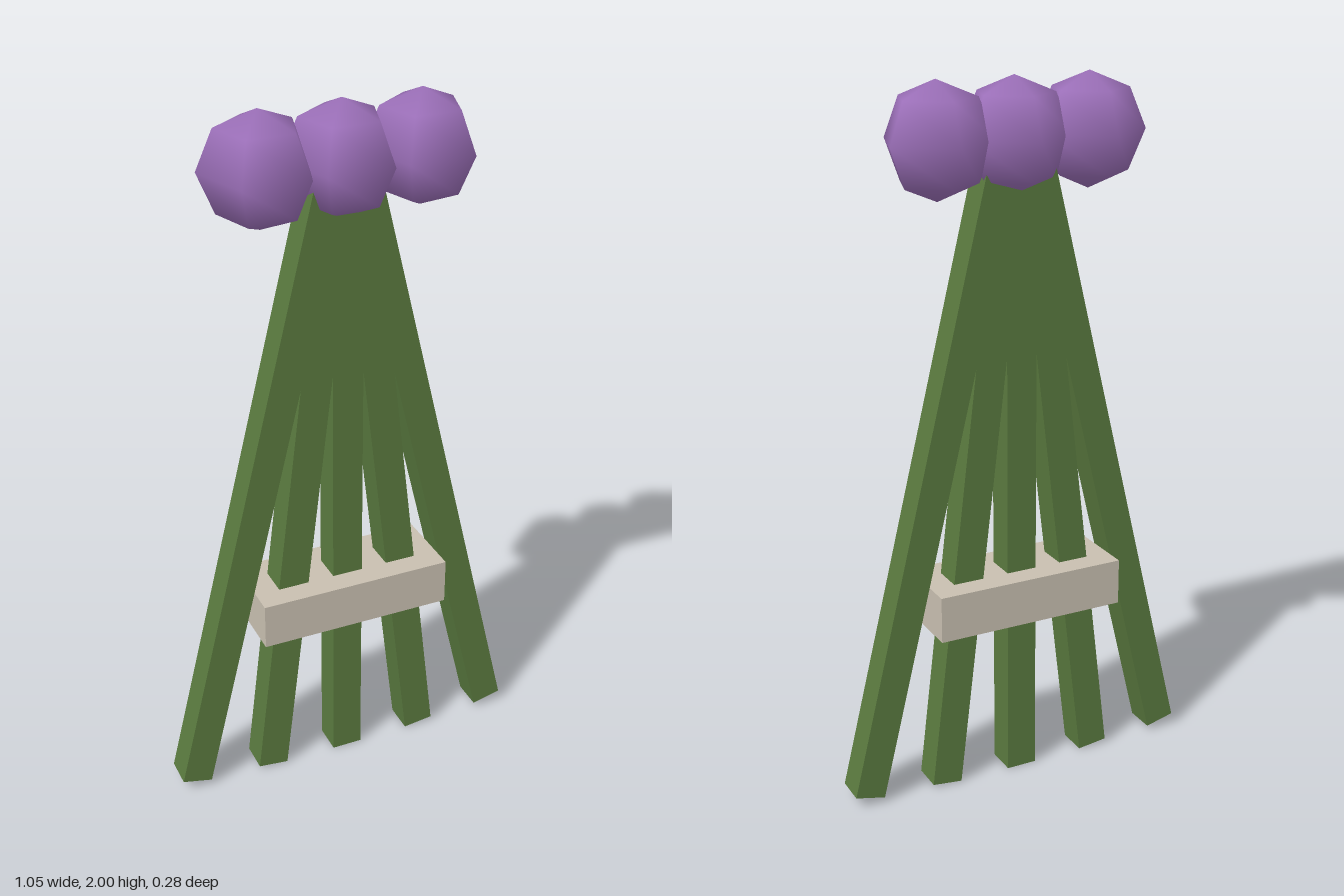
import * as THREE from 'three';

export function createModel() {
  const model = new THREE.Group();
  const mat = (name, color) => {
    const m = new THREE.MeshStandardMaterial({ color });
    m.name = name;
    return m;
  };
  const green = mat('stem green', 0x5a7a3f);
  const purple = mat('blossom purple', 0x9b6fb8);
  const beige = mat('band beige', 0xc8bfb0);
  const depth = 0.015; // shared z centre

  const add = (name, geometry, material, x, y) => {
    const mesh = new THREE.Mesh(geometry, material);
    mesh.name = name;
    mesh.position.set(x, y, depth);
    model.add(mesh);
    return mesh;
  };

  // Five stems fanning out towards the bottom
  const stemGeometry = new THREE.BoxGeometry(0.089, 1.8, 0.089);
  for (let i = -2; i <= 2; i++) {
    add('stem', stemGeometry, green, i * 0.133, 0.9).rotation.z = i * 0.12;
  }

  // Band tying the stems
  add('band', new THREE.BoxGeometry(0.56, 0.133, 0.222), beige, 0, 0.563);

  // Three low-poly smooth blossoms, one corner pointing back
  const blossomGeometry = new THREE.SphereGeometry(0.155, 5, 4);
  for (let i = -1; i <= 1; i++) {
    add('blossom', blossomGeometry, purple, i * 0.222, 1.845).rotation.y = -Math.PI / 2;
  }

  return model;
}
